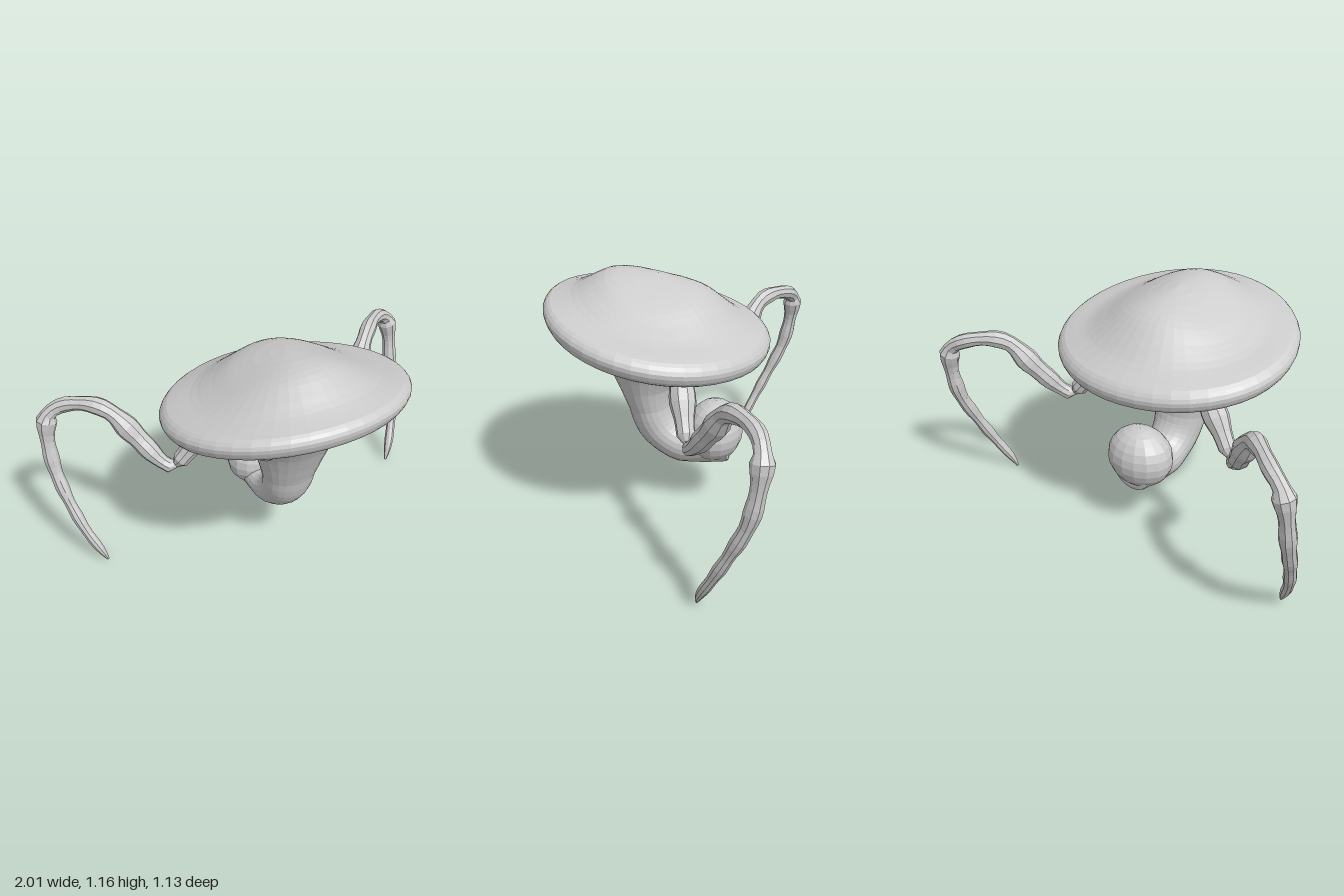
import * as THREE from 'three';

const material = new THREE.MeshStandardMaterial({ color: 0xcccccc, flatShading: true, side: THREE.DoubleSide });
const V = (x, y, z) => new THREE.Vector3(x, y, z);

function addMesh(parent, name, geometry) {
  const mesh = new THREE.Mesh(geometry, material);
  mesh.name = name;
  parent.add(mesh);
  return mesh;
}

// Skin a stack of closed rings; at(row, angle) returns a point, angle 0 faces front
function loft(rows, sides, at) {
  const positions = [], index = [];
  for (let i = 0; i <= rows; i++) {
    for (let j = 0; j < sides; j++) positions.push(...at(i / rows, (j / sides) * Math.PI * 2).toArray());
  }
  for (let i = 0; i < rows; i++) {
    for (let j = 0; j < sides; j++) {
      const a = i * sides + j, b = i * sides + (j + 1) % sides;
      index.push(a, a + sides, b + sides, a, b + sides, b);
    }
  }
  const g = new THREE.BufferGeometry();
  g.setAttribute('position', new THREE.Float32BufferAttribute(positions, 3));
  g.setIndex(index);
  g.computeVertexNormals();
  return g;
}

// Tilted mushroom-like cap: [radius fraction, height over rim line], top to underside
function capGeometry() {
  const profile = new THREE.CatmullRomCurve3([
    [0, 0.245], [0.3, 0.23], [0.46, 0.203], [0.6, 0.153], [0.75, 0.095], [0.88, 0.06], [0.96, 0.038],
    [1, 0], [0.97, -0.045], [0.9, -0.06], [0.8, -0.028], [0.6, 0.015], [0.3, 0.04], [0, 0.05],
  ].map(([t, h]) => V(t, h, 0)));
  return loft(32, 44, (u, a) => {
    const p = profile.getPoint(u), t = Math.max(0, p.x), s = Math.sin(a);
    const x = 0.577 * t * s, z = 0.047 + 0.517 * t * Math.cos(a);
    const rim = 0.89 + 0.17 * z + 0.09 * z * z;
    // The dome falls away faster towards the sides
    const flank = u < 0.5 ? 0.055 * (s * Math.sin(Math.PI * t)) ** 2 : 0;
    return V(x, rim + p.y - flank, z);
  });
}

// Neck that narrows downwards and curls up to the back
function bodyGeometry() {
  // y, z, forward tilt, half width, half depth
  const rings = [
    [0.95, 0.08, -0.2, 0.35, 0.28], [0.8, 0.12, -0.05, 0.26, 0.215], [0.7, 0.1, 0, 0.2, 0.178],
    [0.6, 0.1, 0.05, 0.162, 0.13], [0.5, 0.083, 0.1, 0.135, 0.106], [0.4, 0.045, 0.45, 0.12, 0.104],
    [0.335, -0.025, 0.9, 0.112, 0.1], [0.318, -0.12, 1.5, 0.115, 0.104], [0.355, -0.19, 1.65, 0.125, 0.137],
    [0.38, -0.25, 1.7, 0.13, 0.155], [0.37, -0.29, 1.62, 0.125, 0.135], [0.365, -0.303, 1.57, 0.1, 0.11],
    [0.365, -0.306, 1.57, 0, 0],
  ];
  const spine = new THREE.CatmullRomCurve3(rings.map((r) => V(r[0], r[1], r[2])));
  const size = new THREE.CatmullRomCurve3(rings.map((r) => V(r[3], r[4], 0)));
  return loft(36, 24, (u, a) => {
    const c = spine.getPoint(u), s = size.getPoint(u), d = s.y * Math.cos(a);
    return V(s.x * Math.sin(a), c.x - d * Math.sin(c.z), c.y + d * Math.cos(c.z));
  });
}

// Jointed leg: tube whose rings are scaled by an interpolated radius
function legGeometry(side) {
  // x, y, z, radius
  const joints = [
    [0.24, 0.84, -0.09, 0.05], [0.31, 0.74, -0.115, 0.06], [0.39, 0.64, -0.14, 0.052], [0.46, 0.55, -0.165, 0.036],
    [0.49, 0.53, -0.18, 0.036], [0.53, 0.56, -0.21, 0.038], [0.62, 0.695, -0.3, 0.053], [0.7, 0.805, -0.36, 0.041],
    [0.77, 0.83, -0.42, 0.038], [0.87, 0.813, -0.495, 0.034], [0.935, 0.77, -0.52, 0.037], [0.96, 0.69, -0.52, 0.037],
    [0.965, 0.5, -0.487, 0.035], [0.942, 0.33, -0.415, 0.029], [0.9, 0.17, -0.34, 0.026],
    [0.85, 0.05, -0.285, 0.019], [0.832, 0.004, -0.272, 0.006],
  ];
  const curve = new THREE.CatmullRomCurve3(joints.map(([x, y, z]) => V(side * x, y, z)));
  const radius = new THREE.CatmullRomCurve3(joints.map((j) => V(j[3], 0, 0)));
  const rows = 56, sides = 9;
  const g = new THREE.TubeGeometry(curve, rows, 1, sides);
  const pos = g.attributes.position, v = V(0, 0, 0);
  for (let i = 0; i < pos.count; i++) {
    const u = Math.floor(i / (sides + 1)) / rows;
    const c = curve.getPointAt(u);
    const r = radius.getPoint(curve.getUtoTmapping(u)).x;
    // Slight lumps along the limb
    v.fromBufferAttribute(pos, i).sub(c).multiplyScalar(r * (1 + 0.08 * Math.sin(u * 75))).add(c);
    pos.setXYZ(i, v.x, Math.max(0, v.y), v.z);
  }
  g.computeVertexNormals();
  return g;
}

function addBall(parent, name, center, scale) {
  const ball = addMesh(parent, name, new THREE.SphereGeometry(1, 16, 12));
  ball.position.set(...center);
  ball.scale.set(...scale);
}

export function createModel() {
  const model = new THREE.Group();
  addMesh(model, 'cap', capGeometry());
  addMesh(model, 'body', bodyGeometry());
  addBall(model, 'tailBulb', [0, 0.385, -0.225], [0.166, 0.148, 0.134]);

  for (const side of [1, -1]) {
    const label = side > 0 ? 'left' : 'right';
    addMesh(model, label + 'Leg', legGeometry(side));
    // Knobs tucked beneath the cap
    addBall(model, label + 'FrontEye', [side * 0.23, 0.858, 0.275], [0.066, 0.066, 0.075]);
    addBall(model, label + 'SideEye', [side * 0.335, 0.84, 0.1], [0.068, 0.058, 0.075]);
    addBall(model, label + 'RearKnob', [side * 0.25, 0.82, -0.14], [0.06, 0.055, 0.06]);
  }
  return model;
}
